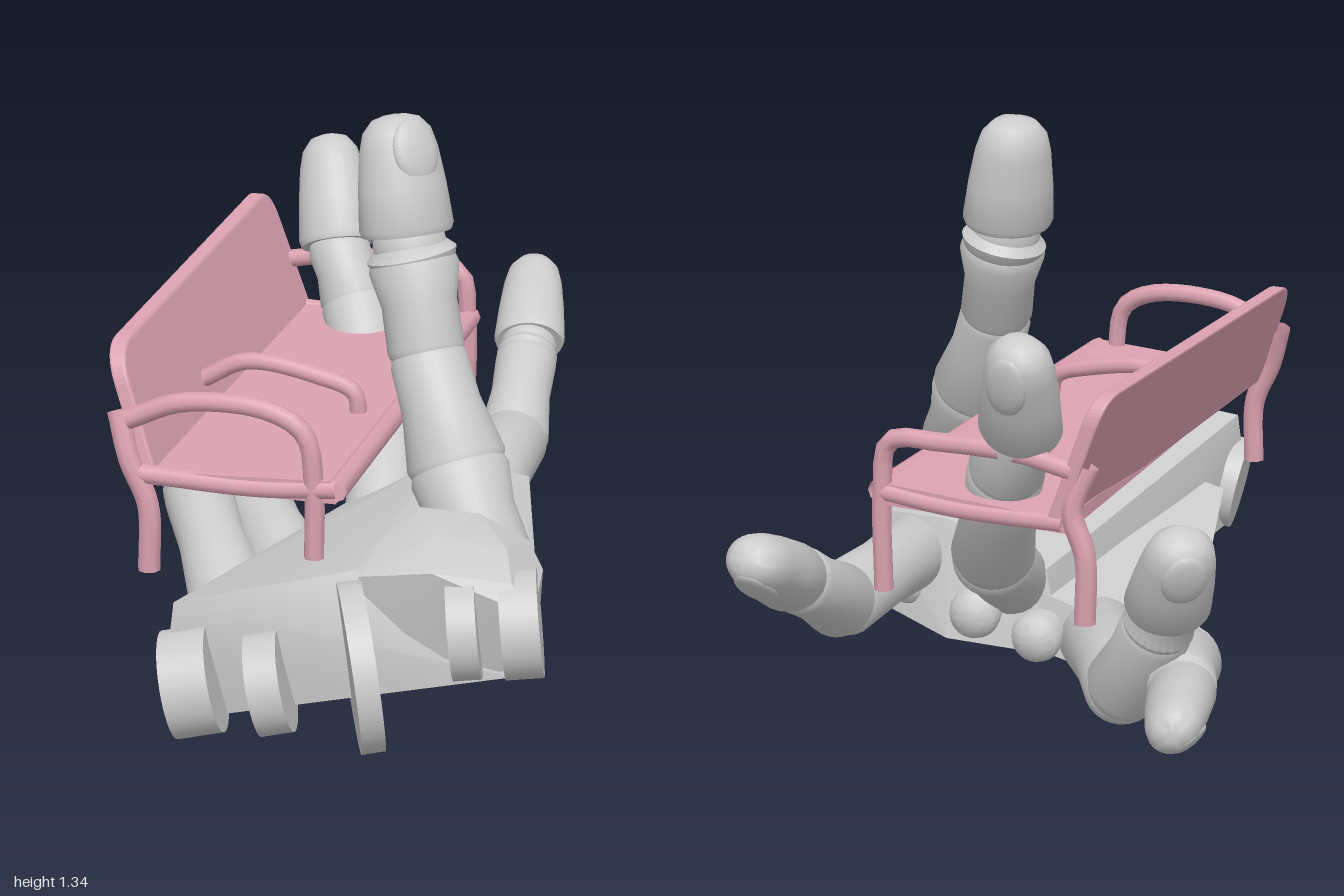
import * as THREE from 'three';
import { toCreasedNormals } from 'three/addons/utils/BufferGeometryUtils.js';
import { ConvexGeometry } from 'three/addons/geometries/ConvexGeometry.js';

const grey = new THREE.MeshStandardMaterial({ color: 0xcccccc });
const pink = new THREE.MeshStandardMaterial({ color: 0xdca2b2, side: THREE.DoubleSide });
const V = (a) => new THREE.Vector3(...a);
const UP = new THREE.Vector3(0, 1, 0);

function add(parent, name, geometry, material = grey) {
  const mesh = new THREE.Mesh(geometry, material);
  mesh.name = name;
  parent.add(mesh);
  return mesh;
}

const hull = (pts) => toCreasedNormals(new ConvexGeometry(pts.map(V)), 0.5);

const lathe = (profile) => toCreasedNormals(
  new THREE.LatheGeometry(profile.map(([r, y]) => new THREE.Vector2(r, y)), 28), 0.7);

// Waisted phalanx from a to b with domed ends
function phalanx(parent, name, a, b, r0, r1) {
  const L = a.distanceTo(b), waist = 0.45 * (r0 + r1);
  const mesh = add(parent, name, lathe([
    [0, -0.6 * r0], [0.5 * r0, -0.5 * r0], [0.88 * r0, -0.2 * r0], [r0, 0.15 * r0],
    [waist, L * 0.55], [r1, L - 0.15 * r1], [0.88 * r1, L + 0.2 * r1], [0.5 * r1, L + 0.45 * r1], [0, L + 0.55 * r1],
  ]));
  mesh.position.copy(a);
  mesh.quaternion.setFromUnitVectors(UP, b.clone().sub(a).normalize());
}

// Flattened fingertip cap with a stepped cuff, and a nail on the outer side
function fingertip(parent, a, b, r, outward) {
  const L = a.distanceTo(b), dir = b.clone().sub(a).normalize();
  const n = V(outward);
  n.addScaledVector(dir, -n.dot(dir)).normalize();
  const tip = new THREE.Group();
  tip.name = 'fingertipWithNail';
  tip.position.copy(a);
  tip.quaternion.setFromRotationMatrix(
    new THREE.Matrix4().makeBasis(new THREE.Vector3().crossVectors(dir, n), dir, n));
  parent.add(tip);
  const cap = add(tip, 'fingertip', lathe([
    [0, 0], [r * 0.94, 0], [r, 0.015], [r * 0.93, L * 0.4], [r * 0.83, L * 0.7],
    [r * 0.72, L * 0.86], [r * 0.5, L * 0.96], [r * 0.25, L * 0.99], [0, L],
  ]));
  cap.scale.z = 0.88;
  const nail = add(tip, 'fingernail', new THREE.SphereGeometry(1, 20, 12));
  nail.scale.set(r * 0.52, L * 0.27, r * 0.2);
  nail.position.set(0, L * 0.69, r * 0.58);
  nail.rotation.x = -0.18;
}

function finger(parent, name, points, radii, tipRadius, outward) {
  const group = new THREE.Group();
  group.name = name;
  parent.add(group);
  const p = points.map(V), last = p.length - 2;
  for (let i = 0; i < last; i++) phalanx(group, 'phalanx', p[i], p[i + 1], radii[i], radii[i + 1]);
  fingertip(group, p[last], p[last + 1], tipRadius, outward);
}

// Flat disc or lug with its axis along the given direction
function disc(parent, name, centre, axis, r, thickness) {
  const mesh = add(parent, name, new THREE.CylinderGeometry(r, r, thickness, 36));
  mesh.position.set(...centre);
  mesh.quaternion.setFromUnitVectors(UP, V(axis).normalize());
}

function buildPalm(hand) {
  add(hand, 'palm', hull([
    [-0.1, 0.18, 0.84], [0.58, 0.31, 0.72], [0.42, 0.22, -0.1], [0.2, 0.18, -0.16], [-0.04, 0.13, -0.04],
    [-0.12, 0.36, 0.88], [-0.11, 0.46, 0.87], [0.25, 0.53, 0.76], [0.6, 0.37, 0.66], [0.56, 0.37, 0.4],
    [0.43, 0.44, -0.08], [0.22, 0.45, -0.1], [0, 0.34, -0.04],
  ]));
  add(hand, 'outerPalm', hull([
    [-0.04, 0.19, 0.74], [-0.15, 0.33, 0.68], [-0.23, 0.005, 0.12], [-0.32, 0.14, 0.06],
    [0.08, 0.16, -0.06], [0.04, 0.3, -0.06], [0.1, 0.21, 0.7], [0.1, 0.38, 0.68],
    [-0.15, 0.09, -0.02],
  ]));
  // Rounded knuckles along the finger edge
  for (const [x, y, z] of [[0.32, 0.29, -0.12], [0.14, 0.24, -0.14], [0.0, 0.19, -0.1], [-0.14, 0.13, -0.04]]) {
    phalanx(hand, 'knuckle', V([x + 0.03, y, z + 0.2]), V([x, y, z]), 0.06, 0.06);
  }
  // Thumb mount
  add(hand, 'thumbMount', hull([
    [0.3, 0.26, 0.74], [0.63, 0.34, 0.72], [0.58, 0.33, 0.5], [0.3, 0.3, 0.45],
    [0.26, 0.52, 0.77], [0.42, 0.55, 0.78], [0.58, 0.53, 0.74], [0.63, 0.47, 0.76],
    [0.27, 0.55, 0.66], [0.4, 0.59, 0.68], [0.55, 0.57, 0.66], [0.61, 0.5, 0.58],
    [0.33, 0.59, 0.53], [0.46, 0.59, 0.53], [0.56, 0.53, 0.5],
  ]));
  // Wrist lugs and hinge disc
  disc(hand, 'wristDisc', [0.28, 0.34, 0.82], [0.92, 0.12, -0.36], 0.18, 0.05);
  disc(hand, 'wristLug', [-0.07, 0.285, 0.87], [0.97, 0.2, -0.2], 0.115, 0.1);
  disc(hand, 'wristLug', [0.09, 0.29, 0.84], [0.97, 0.2, -0.2], 0.11, 0.07);
  disc(hand, 'wristLug', [0.59, 0.42, 0.69], [0.97, 0.1, -0.22], 0.115, 0.08);
  disc(hand, 'wristLug', [0.48, 0.42, 0.74], [0.97, 0.1, -0.22], 0.11, 0.06);
}

function buildBench(parent) {
  const bench = new THREE.Group();
  bench.name = 'bench';
  parent.add(bench);
  const tube = (name, pts, r) =>
    add(bench, name, new THREE.TubeGeometry(new THREE.CatmullRomCurve3(pts.map(V)), 24, r, 8), pink);

  // Seat
  add(bench, 'seat', hull([
    [-0.27, 0.63, -0.52], [0.18, 0.63, -0.52], [0.18, 0.63, 0.66], [-0.23, 0.63, 0.66],
    [-0.27, 0.66, -0.52], [0.17, 0.68, -0.52], [0.17, 0.68, 0.66], [-0.23, 0.66, 0.66],
    [0.2, 0.655, -0.5], [0.2, 0.655, 0.64],
  ]), pink);

  // Reclined back panel, rounded at its top corners
  const s = new THREE.Shape();
  s.moveTo(-0.52, 0.64);
  s.lineTo(0.64, 0.64);
  s.lineTo(0.61, 0.82);
  s.quadraticCurveTo(0.6, 0.9, 0.52, 0.905);
  s.lineTo(-0.46, 0.935);
  s.quadraticCurveTo(-0.52, 0.935, -0.52, 0.87);
  const back = new THREE.ExtrudeGeometry(s, {
    depth: 0.025, bevelEnabled: true, bevelSize: 0.006, bevelThickness: 0.006, bevelSegments: 2,
  });
  back.rotateY(-Math.PI / 2);
  const pos = back.attributes.position;
  for (let i = 0; i < pos.count; i++) {
    pos.setX(i, pos.getX(i) - 0.225 - (pos.getY(i) - 0.64) * 0.36);
  }
  back.computeVertexNormals();
  add(bench, 'backrest', back, pink);

  // End frames: arm running into front leg, rear leg, side rail
  for (const [z, frontX, frontY, rearX, armY] of [[0.65, 0.13, 0.5, -0.24, 0.82], [-0.51, 0.175, 0.43, -0.31, 0.79]]) {
    tube('armAndFrontLeg', [
      [-0.28, 0.77, z], [-0.16, armY, z], [0.03, armY, z], [frontX - 0.02, 0.775, z],
      [frontX, 0.66, z], [frontX, frontY, z],
    ], 0.022);
    tube('rearLeg', [[-0.31, 0.78, z * 0.97], [-0.28, 0.68, z], [rearX, 0.58, z], [rearX, 0.43, z]], 0.025);
    tube('sideRail', [[-0.26, 0.65, z], [0, 0.645, z], [0.18, 0.66, z]], 0.022);
  }
  tube('frontRail', [[0.18, 0.66, 0.66], [0.18, 0.66, 0], [0.18, 0.66, -0.52]], 0.025);
  // Middle arm
  tube('middleArm', [
    [-0.25, 0.72, 0.23], [-0.15, 0.77, 0.23], [0.02, 0.75, 0.23], [0.1, 0.72, 0.23], [0.11, 0.66, 0.23],
  ], 0.02);
}

export function createModel() {
  const model = new THREE.Group();
  const hand = new THREE.Group();
  hand.name = 'hand';
  model.add(hand);
  buildPalm(hand);

  finger(hand, 'thumb',
    [[0.46, 0.44, 0.46], [0.37, 0.62, 0.36], [0.275, 0.84, 0.27], [0.225, 1.03, 0.205], [0.21, 1.09, 0.2], [0.17, 1.345, 0.16]],
    [0.105, 0.11, 0.085, 0.1, 0.08], 0.108, [0.6, 0.1, 0.5]);
  finger(hand, 'indexFinger',
    [[0.32, 0.35, 0], [0.3, 0.37, -0.48], [0.28, 0.5, -0.7], [0.275, 0.525, -0.75], [0.23, 0.66, -0.995]],
    [0.09, 0.085, 0.075, 0.07], 0.088, [0, -0.8, -0.6]);
  finger(hand, 'middleFinger',
    [[0.1, 0.28, 0], [0.04, 0.44, -0.24], [-0.08, 0.71, -0.42], [-0.14, 0.83, -0.47], [-0.2, 1.065, -0.6]],
    [0.09, 0.095, 0.085, 0.075], 0.094, [0, 0.2, -1]);
  finger(hand, 'ringFinger',
    [[-0.1, 0.17, 0.03], [-0.33, 0.22, -0.34], [-0.44, 0.41, -0.42], [-0.47, 0.47, -0.44], [-0.555, 0.675, -0.55]],
    [0.095, 0.09, 0.08, 0.075], 0.095, [-0.6, 0, -0.8]);
  finger(hand, 'littleFinger',
    [[-0.23, 0.13, 0.12], [-0.42, 0.25, -0.22], [-0.5, 0.285, -0.42], [-0.52, 0.29, -0.47], [-0.605, 0.31, -0.73]],
    [0.095, 0.085, 0.075, 0.07], 0.08, [-0.7, -0.7, 0]);

  buildBench(model);
  return model;
}
